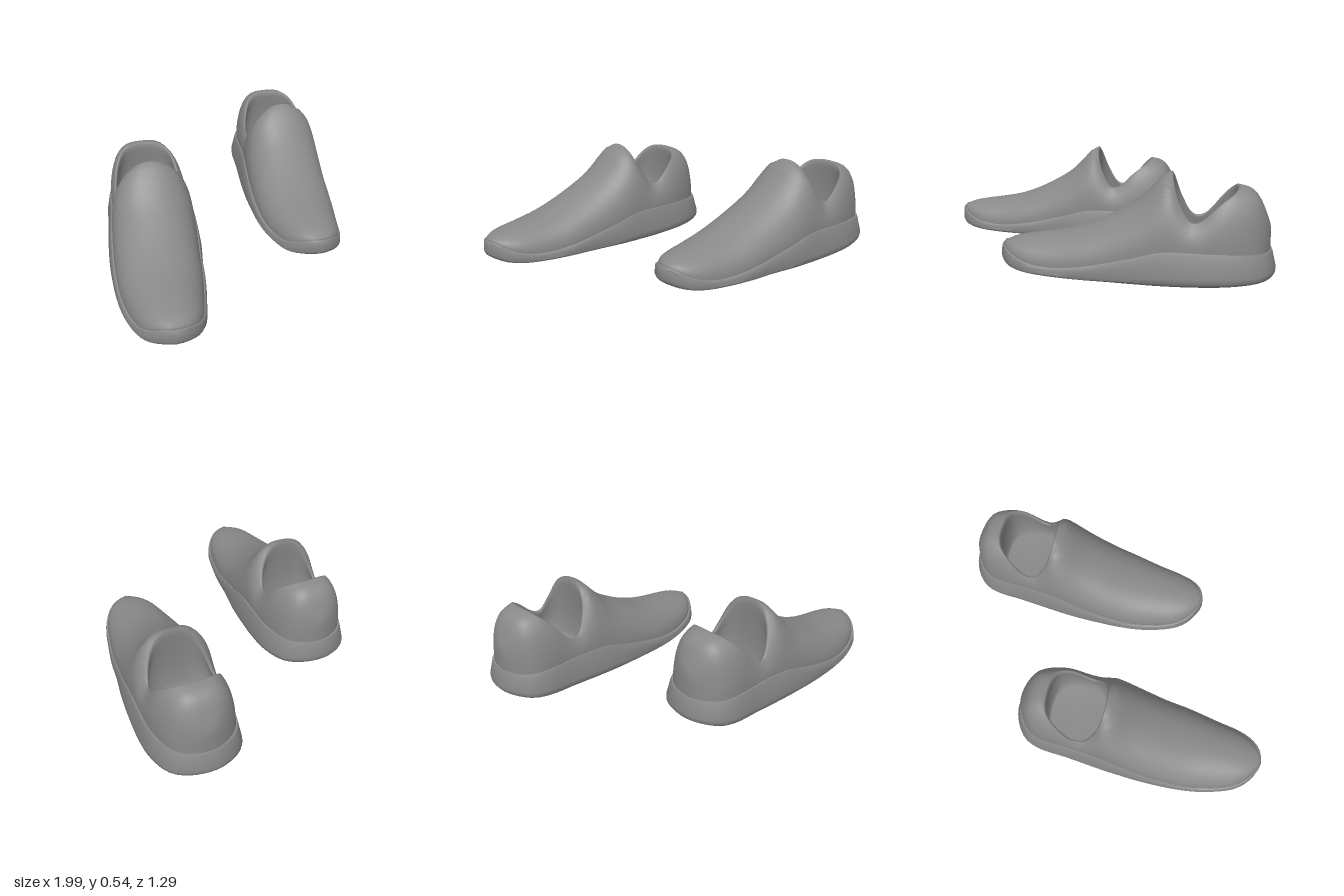
import * as THREE from 'three';
import { toCreasedNormals } from 'three/addons/utils/BufferGeometryUtils.js';

const N = 96; // points around each ring
const { lerp, smoothstep } = THREE.MathUtils;
const loop = pts => new THREE.CatmullRomCurve3(pts.map(([x, z]) => new THREE.Vector3(x, 0, z)), true);

// Plan outline of one shoe as [across, along]; toe at +along
const outline = loop([
  [-.037, .739], [-.128, .7], [-.193, .631], [-.241, .504], [-.271, .355], [-.283, .12], [-.276, -.08],
  [-.249, -.355], [-.236, -.524], [-.205, -.608], [-.134, -.668], [-.031, -.702], [.097, -.684], [.175, -.637],
  [.212, -.583], [.247, -.468], [.256, -.356], [.254, -.23], [.242, -.04], [.215, .148], [.2, .292],
  [.17, .458], [.138, .595], [.093, .676], [.033, .722],
]).getSpacedPoints(N).slice(0, N);

// Plan of the collar opening, spaced wider at the heel so its front edge serves the whole vamp
const collarCurve = loop([
  [-.018, -.168], [-.135, -.186], [-.184, -.247], [-.188, -.371], [-.122, -.482], [.002, -.508],
  [.117, -.482], [.163, -.401], [.16, -.25], [.115, -.19],
]);
const collarPlan = outline.map((_, i) => collarCurve.getPointAt(i / N - .07 * Math.sin(2 * Math.PI * i / N) + (i ? 0 : 0.0001)));

// Smooth curve through [position, value] pairs
function profile(pts) {
  const slope = i => {
    const a = pts[Math.max(i - 1, 0)], b = pts[Math.min(i + 1, pts.length - 1)];
    return (b[1] - a[1]) / (b[0] - a[0]);
  };
  return s => {
    if (s <= pts[0][0]) return pts[0][1];
    if (s >= pts[pts.length - 1][0]) return pts[pts.length - 1][1];
    const i = pts.findIndex(p => p[0] > s) - 1;
    const [x0, y0] = pts[i], [x1, y1] = pts[i + 1], d = x1 - x0, t = (s - x0) / d, t2 = t * t, t3 = t2 * t;
    return y0 * (2 * t3 - 3 * t2 + 1) + y1 * (3 * t2 - 2 * t3)
      + d * (slope(i) * (t3 - 2 * t2 + t) + slope(i + 1) * (t3 - t2));
  };
}

// Heights along the shoe: underside, sole rim and crest of the upper
const bottom = profile([[-.7, .032], [-.6, .02], [-.35, .008], [0, 0], [.4, .002], [.58, .01], [.67, .022], [.73, .04]]);
const rim = profile([[-.7, .16], [-.4, .174], [-.13, .173], [.02, .134], [.23, .083], [.42, .056], [.55, .063], [.65, .095], [.72, .138]]);
const crest = profile([[-.685, .2], [-.66, .31], [-.6, .435], [-.52, .476], [-.41, .472], [-.28, .378], [-.21, .475],
  [-.165, .545], [-.11, .508], [-.05, .44], [.02, .38], [.115, .322], [.23, .265], [.35, .222], [.46, .2], [.58, .183],
  [.66, .168], [.71, .15]]);

// Outline pulled inwards, by different amounts at heel and toe
function inset(p, heel, toe) {
  const d = lerp(heel, toe, smoothstep(p.z, -.3, .3));
  return { x: -.012 + (p.x + .012) * (1 - d / .25), z: p.z * (1 - d / .72) };
}
const base = outline.map(p => inset(p, .032, .017));

// Height of the upper over a plan point: an arch across the width, boxier at the heel
function archHeight(x, z) {
  let lo = Infinity, hi = -Infinity;
  base.forEach((a, i) => {
    const b = base[(i + 1) % N];
    if ((a.z - z) * (b.z - z) > 0 || a.z === b.z) return;
    const w = a.x + (b.x - a.x) * (z - a.z) / (b.z - a.z);
    lo = Math.min(lo, w);
    hi = Math.max(hi, w);
  });
  const low = rim(z);
  if (hi <= lo) return low;
  const r = Math.min(Math.abs(x - (lo + hi) / 2) / ((hi - lo) / 2), 1);
  const power = 3.4 - 1.2 * smoothstep(z, -.5, -.3);
  return low + Math.max(crest(z) - low, 0) * Math.sqrt(1 - Math.pow(r, power));
}

// Skin a list of closed rings
function skin(rings) {
  const pos = rings.flat().flatMap(p => [p.x, p.y, p.z]), index = [];
  for (let j = 0; j < rings.length - 1; j++) {
    for (let i = 0; i < N; i++) {
      const k = (i + 1) % N, a = j * N + i, b = j * N + k;
      index.push(a, a + N, b, b, a + N, b + N);
    }
  }
  const g = new THREE.BufferGeometry();
  g.setAttribute('position', new THREE.Float32BufferAttribute(pos, 3));
  g.setIndex(index);
  g.computeVertexNormals();
  return g;
}

// Sole: underside, lower edge (sharp heel, rounded toe), flared wall and top ledge
function soleGeometry() {
  const rings = [.001, .25, .5, .75].map(k => outline.map(p => {
    const q = inset(p, .025, .05), z = q.z * k;
    return { x: q.x * k, y: bottom(z), z };
  }));
  // [heel inset, toe inset, height fraction]
  const wall = [[.025, .05, 0], [.01, .02, .05], [.002, .006, .13], [0, 0, .28], [.013, .002, .7],
    [.02, .006, .93], [.024, .011, 1], [.05, .04, 1]];
  for (const [heel, toe, f] of wall) {
    rings.push(outline.map(p => {
      const { x, z } = inset(p, heel, toe);
      return { x, y: lerp(bottom(z), rim(z), f), z };
    }));
  }
  return toCreasedNormals(skin(rings), .6);
}

// Upper: from the sole rim to the collar, then down the lining to the insole
function upperGeometry() {
  const rings = [base.map(p => ({ x: p.x, y: rim(p.z) - .012, z: p.z }))];
  const steps = 32;
  for (let j = 0; j <= steps; j++) {
    const v = Math.pow(j / steps, 1.8);
    rings.push(base.map((b, i) => {
      const x = lerp(b.x, collarPlan[i].x, v), z = lerp(b.z, collarPlan[i].z, v);
      return { x, y: j ? archHeight(x, z) : rim(z), z };
    }));
  }
  // [scale about the opening's centre, drop towards the insole]
  const collar = rings[rings.length - 1];
  for (const [k, t] of [[.96, .03], [.95, .1], [.98, .25], [1.04, .6], [1, .95], [.9, 1], [.001, 1]]) {
    rings.push(collar.map(c => ({ x: lerp(-.012, c.x, k), y: lerp(c.y, .16, t), z: lerp(-.338, c.z, k) })));
  }
  return skin(rings);
}

export function createModel() {
  const group = new THREE.Group();
  group.name = 'pairOfShoes';
  const material = new THREE.MeshStandardMaterial({ color: 0x898989 });
  const parts = { sole: soleGeometry(), upper: upperGeometry() };
  for (const side of [-1, 1]) {
    const shoe = new THREE.Group();
    shoe.name = side < 0 ? 'rightShoe' : 'leftShoe';
    for (const [name, geometry] of Object.entries(parts)) {
      const mesh = new THREE.Mesh(geometry, material);
      mesh.name = name;
      shoe.add(mesh);
    }
    shoe.position.x = side * .518;
    shoe.rotation.y = -Math.PI / 6;
    group.add(shoe);
  }
  return group;
}
